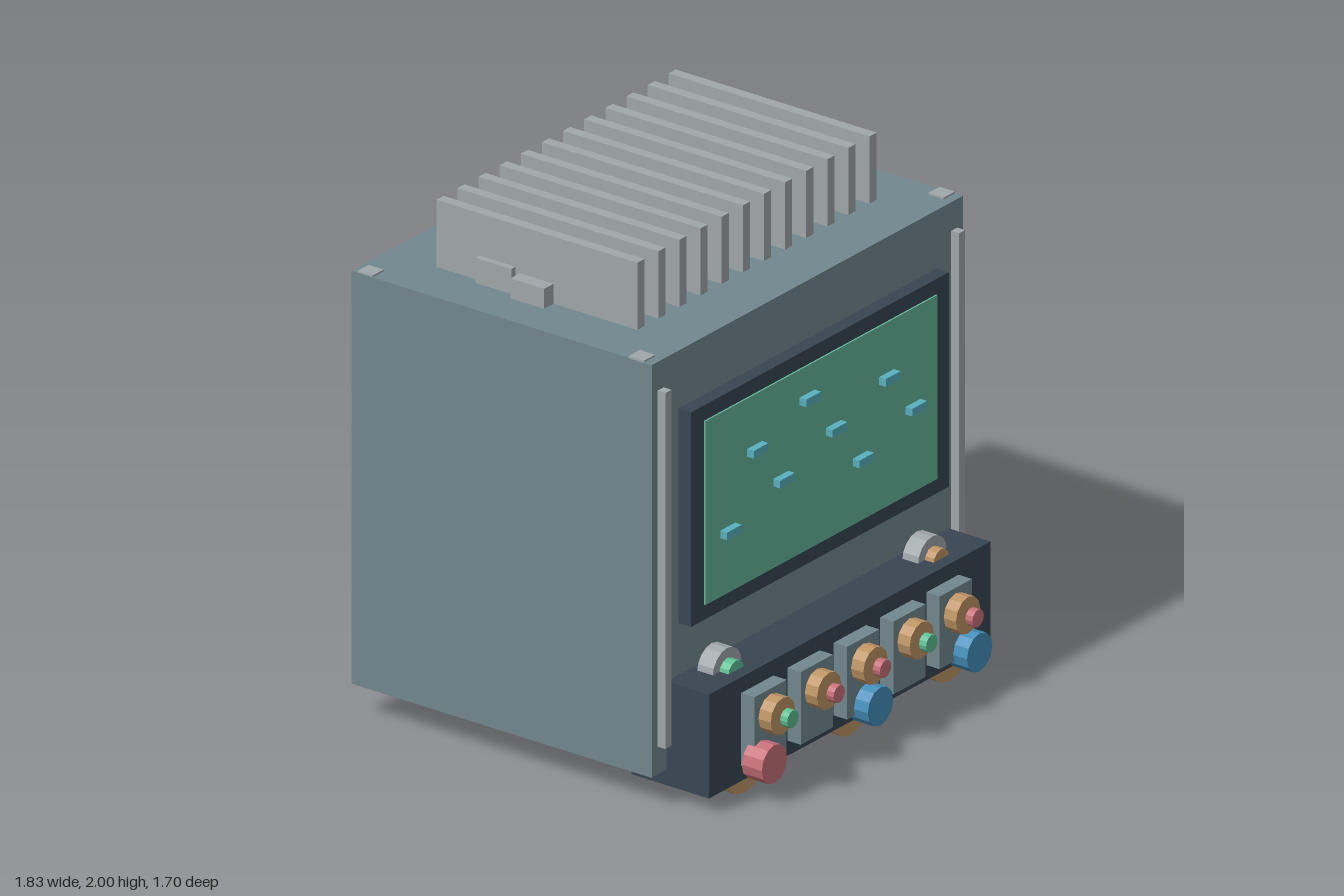
import * as THREE from 'three';

const mat = (name, color) => {
  const m = new THREE.MeshStandardMaterial({ color, flatShading: true });
  m.name = name;
  return m;
};

export function createModel() {
  const model = new THREE.Group();
  model.name = 'controlUnit';

  const casing = mat('blue grey casing', 0x72888f);
  const dark = mat('dark slate', 0x384653);
  const silver = mat('silver grey', 0xa0a7aa);
  const screenGreen = mat('screen green', 0x64b699);
  const cyan = mat('cyan', 0x58b0c0);
  const brass = mat('brass', 0xbd9464);
  const red = mat('red', 0xc77078);
  const green = mat('lamp green', 0x5fc095);
  const blue = mat('blue', 0x458fbb);

  // Box given by its min and max on each axis
  const box = (name, material, [x0, x1], [y0, y1], [z0, z1]) => {
    const mesh = new THREE.Mesh(new THREE.BoxGeometry(x1 - x0, y1 - y0, z1 - z0), material);
    mesh.position.set((x0 + x1) / 2, (y0 + y1) / 2, (z0 + z1) / 2);
    mesh.name = name;
    model.add(mesh);
  };
  // Round part with its axis along z
  const disc = (name, material, x, y, r, z0, z1, sides = 12) => {
    const geo = new THREE.CylinderGeometry(r, r, z1 - z0, sides).rotateX(Math.PI / 2);
    const mesh = new THREE.Mesh(geo, material);
    mesh.position.set(x, y, (z0 + z1) / 2);
    mesh.name = name;
    model.add(mesh);
  };
  const span = (c, w) => [c - w / 2, c + w / 2];

  // Casing with corner plates and front rails
  box('casing', casing, [-0.917, 0.917], [0.12, 1.737], [-0.845, 0.5]);
  for (const s of [-1, 1]) {
    box('frontRail', silver, span(s * 0.865, 0.036), [0.23, 1.625], [0.5, 0.535]);
    for (const z of [-0.785, 0.43])
      box('cornerPlate', silver, span(s * 0.884, 0.066), [1.735, 1.744], span(z, 0.068));
  }

  // Cooling fins and the small blocks between them
  for (let i = 0; i < 12; i++)
    box('coolingFin', silver, span(-0.686 + i * 0.1245, 0.042), [1.73, 2], [-0.625, 0.275]);
  for (let i = 0; i < 5; i++)
    box('rearBlock', silver, span(-0.68 + i * 0.33, 0.105), [1.73, 1.835], [-0.43, -0.27]);
  for (let i = 0; i < 3; i++)
    box('frontBlock', silver, span(-0.7 + i * 0.46, 0.125), [1.73, 1.815], [-0.25, -0.1]);

  // Display and its markers
  box('screenFrame', dark, [-0.76, 0.76], [0.67, 1.51], [0.49, 0.556]);
  box('screen', screenGreen, [-0.684, 0.684], [0.73, 1.45], [0.555, 0.563]);
  const markers = [
    [-0.085, 1.327], [-0.395, 1.238], [0.383, 1.238], [0.07, 1.152],
    [-0.24, 1.065], [0.54, 1.065], [-0.552, 0.975], [0.228, 0.975],
  ];
  for (const [x, y] of markers)
    box('screenMarker', cyan, span(x, 0.087), span(y, 0.03), [0.563, 0.593]);

  // Lower control panel with five knob plates
  box('controlPanel', dark, [-0.83, 0.83], [0.06, 0.467], [0.343, 0.69]);
  [green, red, red, green, red].forEach((colour, i) => {
    const x = (i - 2) * 0.273;
    box('knobPlate', casing, span(x, 0.19), [0.12, 0.405], [0.68, 0.75]);
    disc('knob', brass, x, 0.312, 0.072, 0.745, 0.805);
    disc('knobButton', colour, x, 0.312, 0.034, 0.818, 0.85);
  });

  // Dials along the lower edge, each above a round foot
  [[-0.605, red], [0.02, blue], [0.605, blue]].forEach(([x, colour]) => {
    disc('dial', colour, x, 0.147, 0.075, 0.722, 0.812);
    disc('foot', brass, x, 0.13, 0.13, 0.43, 0.68, 16);
  });

  // Lamps on top of the panel
  [[-0.605, green], [0.605, brass]].forEach(([x, colour]) => {
    disc('lampRing', silver, x, 0.458, 0.086, 0.53, 0.6, 16);
    disc('lamp', colour, x, 0.458, 0.047, 0.6, 0.64);
  });

  return model;
}
